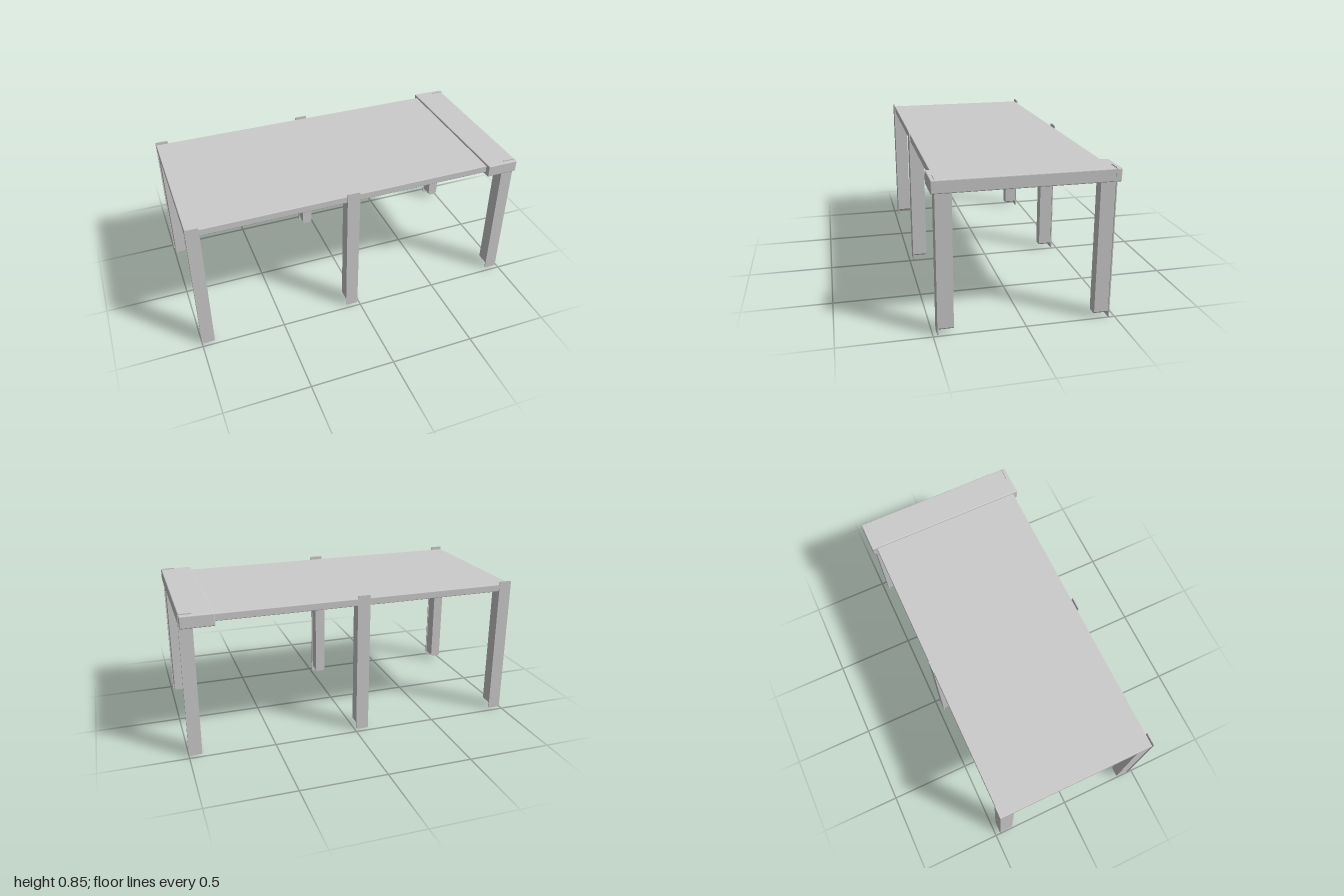
import * as THREE from 'three';
import { RoundedBoxGeometry } from 'three/addons/geometries/RoundedBoxGeometry.js';

const mat = new THREE.MeshStandardMaterial({ color: 0xcccccc, flatShading: true });

// Rounded box given by its lower and upper corners
function block(name, [x0, y0, z0], [x1, y1, z1], r) {
  const geo = new RoundedBoxGeometry(x1 - x0, y1 - y0, z1 - z0, 2, r);
  geo.translate((x0 + x1) / 2, (y0 + y1) / 2, (z0 + z1) / 2);
  const mesh = new THREE.Mesh(geo, mat);
  mesh.name = name;
  return mesh;
}

// Flat outline in x and y, extruded from z0 to z1
function slice(name, shape, z0, z1) {
  const geo = new THREE.ExtrudeGeometry(shape, { depth: z1 - z0, bevelEnabled: false, curveSegments: 3 });
  geo.translate(0, 0, z0);
  const mesh = new THREE.Mesh(geo, mat);
  mesh.name = name;
  return mesh;
}

// Upright strip with rounded corners
function plateShape(x0, x1, y0, y1, r) {
  const s = new THREE.Shape();
  s.absarc(x0 + r, y0 + r, r, Math.PI, Math.PI * 1.5);
  s.absarc(x1 - r, y0 + r, r, Math.PI * 1.5, Math.PI * 2);
  s.absarc(x1 - r, y1 - r, r, 0, Math.PI / 2);
  s.absarc(x0 + r, y1 - r, r, Math.PI / 2, Math.PI);
  s.closePath();
  return s;
}

// Post outline with chamfered foot
function postShape(x0, x1, y0, y1, c) {
  return new THREE.Shape([
    [x0 + c, y0], [x1 - c, y0], [x1, y0 + c], [x1, y1], [x0, y1], [x0, y0 + c],
  ].map(([x, y]) => new THREE.Vector2(x, y)));
}

// Leg: thin outer plate, taller than the post behind it
function leg(x0, side) {
  const g = new THREE.Group();
  g.name = 'leg';
  const x1 = x0 + 0.076;
  const [outer, face, inner] = side > 0 ? [0.476, 0.47, 0.388] : [-0.469, -0.463, -0.383];
  g.add(slice('legPlate', plateShape(x0, x1, 0, 0.849, 0.008), Math.min(outer, face), Math.max(outer, face)));
  g.add(slice('legPost', postShape(x0 + 0.006, x1 - 0.006, 0.025, 0.8, 0.01), Math.min(inner, face), Math.max(inner, face)));
  return g;
}

export function createModel() {
  const model = new THREE.Group();
  model.name = 'table';

  // Top slab and thicker end block
  model.add(block('tableTop', [-0.998, 0.788, -0.467], [0.82, 0.831, 0.467], 0.004));
  model.add(block('endBlock', [0.806, 0.771, -0.496], [0.997, 0.843, 0.496], 0.006));

  // Three legs along each long side
  for (const side of [1, -1]) {
    for (const x of [-1, -0.086, side > 0 ? 0.914 : 0.924]) model.add(leg(x, side));
  }
  return model;
}
